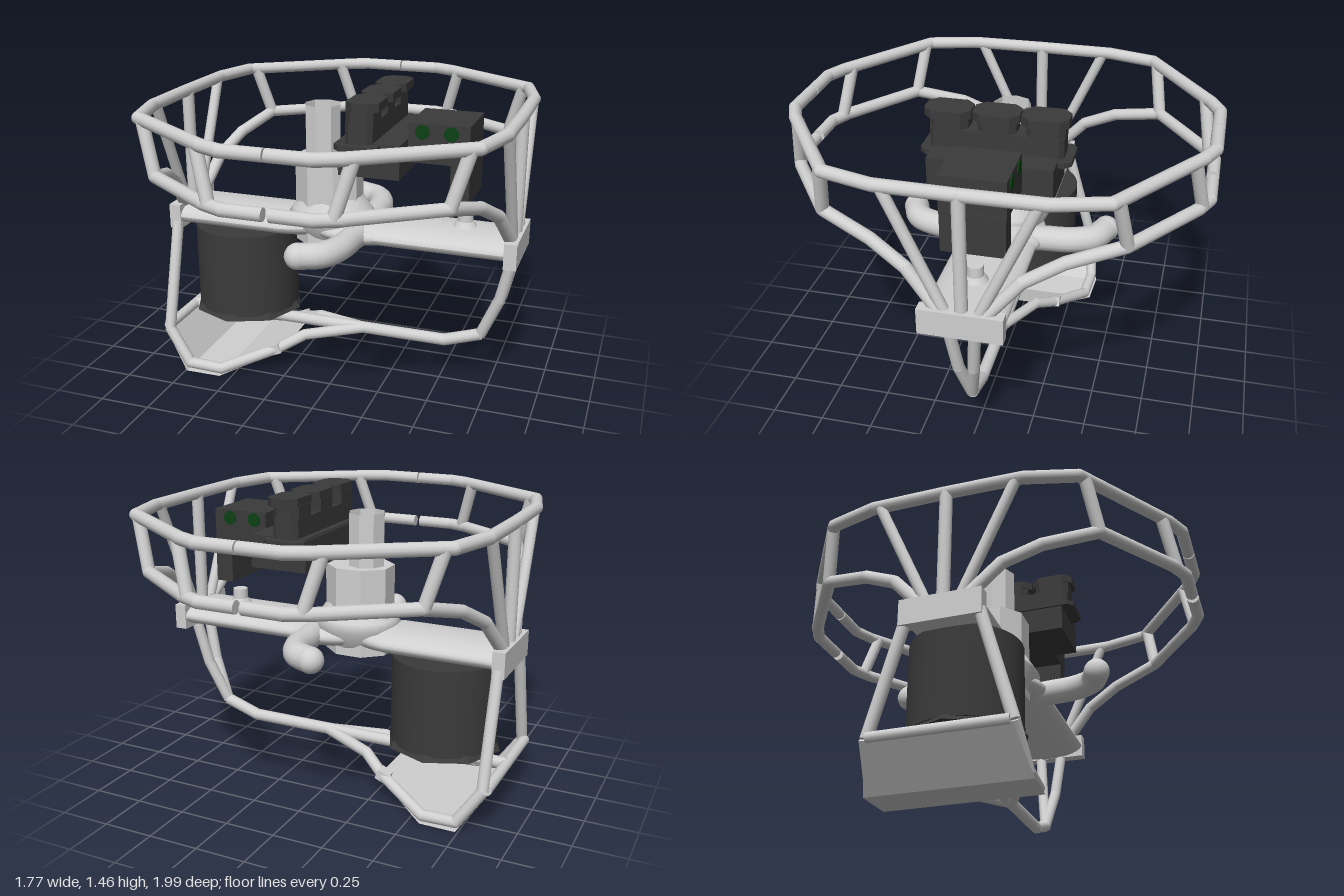
import * as THREE from 'three';

const lightMetal = new THREE.MeshStandardMaterial({ color: 0xd0d0d0, side: THREE.DoubleSide });
lightMetal.name = 'lightMetal';
const darkPlastic = new THREE.MeshStandardMaterial({ color: 0x3b3b3b });
darkPlastic.name = 'darkPlastic';
const green = new THREE.MeshStandardMaterial({ color: 0x0c4214 });
green.name = 'green';

const V = (p) => new THREE.Vector3(...p);

export function createModel() {
  const model = new THREE.Group();
  model.name = 'sensorFrame';

  const add = (name, geo, mat, x = 0, y = 0, z = 0) => {
    const m = new THREE.Mesh(geo, mat);
    m.name = name;
    m.position.set(x, y, z);
    model.add(m);
    return m;
  };
  const box = (name, mat, x0, x1, y0, y1, z0, z1) =>
    add(name, new THREE.BoxGeometry(x1 - x0, y1 - y0, z1 - z0), mat,
      (x0 + x1) / 2, (y0 + y1) / 2, (z0 + z1) / 2);

  // Bent pipe: straight cylinders with ball joints at the bends
  const pipe = (name, pts, r = 0.03) => {
    const g = new THREE.Group();
    g.name = name;
    pts = pts.map(V);
    pts.forEach((a, i) => {
      const b = pts[i + 1];
      if (i > 0 && b) {
        const ball = new THREE.Mesh(new THREE.SphereGeometry(r, 12, 8), lightMetal);
        ball.position.copy(a);
        g.add(ball);
      }
      if (!b) return;
      const d = b.clone().sub(a);
      const seg = new THREE.Mesh(new THREE.CylinderGeometry(r, r, d.length(), 12), lightMetal);
      seg.position.copy(a).addScaledVector(d, 0.5);
      seg.quaternion.setFromUnitVectors(new THREE.Vector3(0, 1, 0), d.normalize());
      g.add(seg);
    });
    model.add(g);
  };

  // Guard rings, posts and struts, mirrored to four quarters
  for (const s of [1, -1]) {
    for (const f of [1, -1]) {
      pipe('upperRing', [[0.004 * s, 1.4, 0.965 * f], [0.2 * s, 1.4, 0.965 * f], [0.3 * s, 1.4, 0.92 * f],
        [0.77 * s, 1.4, 0.6 * f], [0.835 * s, 1.4, 0.36 * f], [0.84 * s, 1.4, 0]]);
      pipe('lowerRing', [[0.015 * s, 1.155, 0.965 * f], [0.2 * s, 1.155, 0.965 * f], [0.3 * s, 1.155, 0.92 * f],
        [0.67 * s, 1.155, 0.66 * f], [0.75 * s, 1.09, 0.42 * f], [0.8 * s, 1.0, 0.25 * f], [0.84 * s, 0.83, 0.1 * f]]);
      pipe('ringStrut', [[0.34 * s, 1.4, 0.89 * f], [0.27 * s, 1.155, 0.935 * f]]);
      pipe('ringStrut', [[0.74 * s, 1.4, 0.62 * f], [0.67 * s, 1.155, 0.66 * f]]);
      pipe('diagonalPost', [[0.835 * s, 1.4, 0.33 * f], [0.84 * s, 0.82, 0.07 * f]], 0.026);
    }
    pipe('post', [[0.84 * s, 1.4, 0], [0.84 * s, 0.82, 0]]);
    box('endBracket', lightMetal, s > 0 ? 0.82 : -0.88, s > 0 ? 0.88 : -0.82, 0.725, 0.85, -0.19, 0.19);
  }

  // Lower keel
  pipe('keel', [[0.7, 0.29, 0], [0.52, 0.23, 0], [-0.86, 0.23, 0]]);
  pipe('crossTube', [[-0.86, 0.23, -0.31], [-0.86, 0.23, 0.31]], 0.026);
  for (const f of [1, -1]) {
    pipe('frontStay', [[0.85, 0.76, 0.06 * f], [0.79, 0.5, 0.035 * f], [0.7, 0.29, 0]], 0.028);
    pipe('rearStay', [[-0.845, 0.76, 0.17 * f], [-0.845, 0.23, 0.32 * f]], 0.028);
    pipe('skid', [[0.1, 0.23, 0], [-0.18, 0.2, 0.12 * f], [-0.3, 0.14, 0.2 * f],
      [-0.56, 0.045, 0.33 * f], [-0.73, 0.055, 0.34 * f], [-0.85, 0.23, 0.32 * f]], 0.028);
    add('skidClamp', new THREE.BoxGeometry(0.06, 0.05, 0.06), lightMetal, -0.31, 0.14, 0.2 * f).rotation.z = 0.4;
  }

  // Skid plate: a strip of sections from nose to tail
  const sections = [[-0.28, 0.13, 0.2], [-0.56, 0.015, 0.36], [-0.74, 0.02, 0.37], [-0.87, 0.21, 0.32]];
  const verts = [], faces = [];
  sections.forEach(([x, y, z], i) => {
    verts.push(x, y, z, x, y, -z);
    if (i) {
      const k = i * 2;
      faces.push(k - 2, k, k - 1, k - 1, k, k + 1);
    }
  });
  let plate = new THREE.BufferGeometry();
  plate.setAttribute('position', new THREE.Float32BufferAttribute(verts, 3));
  plate.setIndex(faces);
  plate = plate.toNonIndexed();
  plate.computeVertexNormals();
  add('skidPlate', plate, lightMetal);

  // Horizontal arms with a rounded section, narrowing at the hub
  const arm = (name, x0, x1, narrowAt) => {
    const g = new THREE.CylinderGeometry(1, 1, x1 - x0, 32, 12);
    g.rotateZ(-Math.PI / 2);
    const p = g.attributes.position;
    for (let i = 0; i < p.count; i++) {
      const x = p.getX(i) + (x0 + x1) / 2;
      const t = THREE.MathUtils.clamp((x - narrowAt) / 0.2, 0, 1);
      p.setXYZ(i, x, 0.788 + p.getY(i) * 0.062, p.getZ(i) * (0.187 - 0.09 * t));
    }
    g.computeVertexNormals();
    add(name, g, lightMetal);
  };
  arm('rightArm', -0.84, 0.0, -0.25);
  arm('leftArm', 0.05, 0.84, 5);
  add('hub', new THREE.SphereGeometry(1, 32, 16), lightMetal, 0.08, 0.788, 0).scale.set(0.26, 0.07, 0.21);

  // Curved handles on both sides of the hub
  for (const f of [1, -1]) {
    const curve = new THREE.CatmullRomCurve3([[0.12, 0.788, 0], [0.095, 0.788, 0.2 * f],
      [0.08, 0.788, 0.34 * f], [0.03, 0.788, 0.44 * f], [-0.06, 0.788, 0.485 * f]].map(V));
    add('handle', new THREE.TubeGeometry(curve, 24, 0.062, 14), lightMetal);
    add('handleTip', new THREE.SphereGeometry(0.063, 16, 12), lightMetal, -0.065, 0.788, 0.487 * f);
  }

  // Central column with flared foot and hollow neck
  const facet = (g) => { const n = g.toNonIndexed(); n.computeVertexNormals(); return n; };
  const foot = [[0.13, 0.7], [0.155, 0.73], [0.23, 0.83], [0.2, 0.87], [0.15, 0.94]].map(([x, y]) => new THREE.Vector2(x, y));
  add('columnFoot', new THREE.LatheGeometry(foot, 24), lightMetal, -0.07, 0, 0).scale.z = 0.85;
  const column = new THREE.CylinderGeometry(0.17, 0.17, 0.43, 8);
  column.rotateY(Math.PI / 8);
  add('column', facet(column), lightMetal, -0.085, 0.915, 0).scale.z = 0.87;
  add('neck', facet(new THREE.CylinderGeometry(0.09, 0.09, 0.27, 8, 1, true)), lightMetal, -0.118, 1.25, 0);

  // Peg on the left arm
  add('peg', new THREE.CylinderGeometry(0.037, 0.04, 0.1, 16), lightMetal, 0.6, 0.875, 0);
  add('pegBase', new THREE.CylinderGeometry(0.04, 0.06, 0.03, 16), lightMetal, 0.6, 0.86, 0);

  // Motor with polygonal flange
  add('motor', new THREE.CylinderGeometry(0.26, 0.26, 0.43, 32), darkPlastic, -0.54, 0.525, 0);
  add('motorFlange', facet(new THREE.CylinderGeometry(0.265, 0.285, 0.03, 8)), darkPlastic, -0.54, 0.305, 0);

  // Chamfered block seen in plan, extruded upward
  const chamfered = (name, x, z, hx, hz, c, y0, y1) => {
    const s = new THREE.Shape([[-hx, c - hz], [c - hx, -hz], [hx - c, -hz], [hx, c - hz], [hx, hz - c],
      [hx - c, hz], [c - hx, hz], [-hx, hz - c]].map(([a, b]) => new THREE.Vector2(a, b)));
    const g = new THREE.ExtrudeGeometry(s, { depth: y1 - y0, bevelEnabled: false });
    g.rotateX(-Math.PI / 2);
    add(name, g, darkPlastic, x, y0, z);
  };

  // Upper unit: base, rim and three capped buttons
  box('unitBase', darkPlastic, 0.06, 0.35, 1.13, 1.29, -0.29, 0.29);
  chamfered('unitRim', 0.155, 0, 0.105, 0.35, 0.03, 1.26, 1.285);
  chamfered('unitBody', 0.16, 0, 0.065, 0.31, 0.02, 1.28, 1.38);
  for (const z of [-0.222, 0, 0.222]) {
    chamfered('buttonStem', 0.16, z, 0.065, 0.09, 0.03, 1.37, 1.44);
    chamfered('buttonCap', 0.175, z, 0.077, 0.108, 0.04, 1.435, 1.475);
  }

  // Sensor box with leg and green lenses on both sides
  box('sensorBox', darkPlastic, 0.35, 0.635, 1.18, 1.365, -0.15, 0.15);
  box('sensorLeg', darkPlastic, 0.55, 0.64, 1.0, 1.2, -0.147, 0.147);
  for (const f of [1, -1]) {
    for (const x of [0.415, 0.55]) {
      add('lens', new THREE.CylinderGeometry(0.034, 0.034, 0.008, 20), green, x, 1.325, 0.151 * f).rotation.x = Math.PI / 2;
    }
  }
  return model;
}
